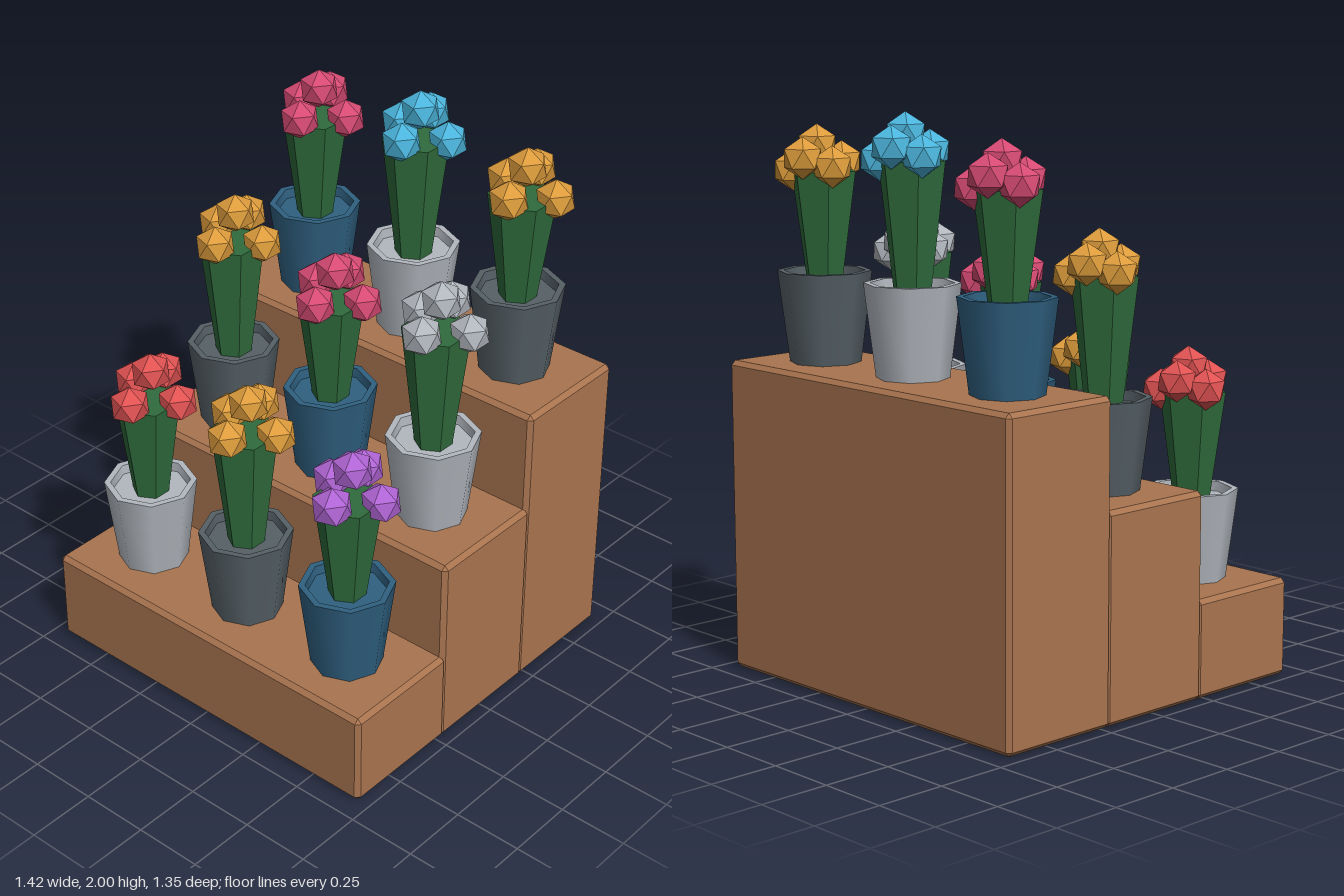
import * as THREE from 'three';
import { mergeGeometries } from 'three/addons/utils/BufferGeometryUtils.js';
import { ConvexGeometry } from 'three/addons/geometries/ConvexGeometry.js';

const material = (name, color, flatShading = false) => {
  const m = new THREE.MeshStandardMaterial({ color, flatShading });
  m.name = name;
  return m;
};

// Box with every edge chamfered, standing on y = 0
function chamferedBox(w, h, d, c) {
  const points = [];
  for (const sx of [-1, 1]) for (const sy of [-1, 1]) for (const sz of [-1, 1]) {
    for (let axis = 0; axis < 3; axis++) {
      const inset = [c, c, c];
      inset[axis] = 0;
      points.push(new THREE.Vector3(
        sx * (w / 2 - inset[0]),
        h / 2 + sy * (h / 2 - inset[1]),
        sz * (d / 2 - inset[2])));
    }
  }
  return new ConvexGeometry(points);
}

// Hollow pot: each profile segment is its own band, so the rim stays sharp
function potGeometry() {
  const profile = [[0, 0], [0.125, 0], [0.165, 0.32], [0.142, 0.32], [0.138, 0.285], [0, 0.285]]
    .map(([x, y]) => new THREE.Vector2(x, y));
  const bands = [];
  for (let i = 0; i < profile.length - 1; i++) {
    bands.push(new THREE.LatheGeometry([profile[i], profile[i + 1]], 8));
  }
  return mergeGeometries(bands);
}

export function createModel() {
  const model = new THREE.Group();
  model.name = 'flowerStand';

  const wood = material('wood', 0xa9744f);
  const leaf = material('leafGreen', 0x2f6b3c);
  const silver = material('silver', 0xb2b7be);
  const slate = material('slate', 0x556066);
  const blue = material('blue', 0x2f6080);
  const red = material('red', 0xe05252);
  const amber = material('amber', 0xdd9c3c);
  const purple = material('purple', 0xb064d4);
  const pink = material('pink', 0xd64a74);
  const cyan = material('cyan', 0x4bb5dc);

  const pots = [silver, slate, blue];
  const blooms = [[red, amber, purple], [amber, pink, silver], [pink, cyan, amber]];
  const stepHeights = [0.35, 0.73, 1.11];
  const stepZ = [0.444, 0, -0.444];

  const pot = potGeometry();
  const bloom = new THREE.IcosahedronGeometry(0.073, 0);
  bloom.rotateZ(-Math.atan(2 / (1 + Math.sqrt(5)))); // one corner points up
  // Bloom centres above the pot's foot
  const bloomSpots = [
    [-0.01, 0.755, -0.035], [0.097, 0.665, -0.055], [0.015, 0.69, 0.095],
    [-0.097, 0.685, -0.04], [-0.03, 0.715, -0.115],
  ];

  const add = (parent, name, geometry, mat, x = 0, y = 0, z = 0) => {
    const mesh = new THREE.Mesh(geometry, mat);
    mesh.name = name;
    mesh.position.set(x, y, z);
    parent.add(mesh);
    return mesh;
  };

  stepHeights.forEach((height, row) => {
    // Wooden step
    add(model, 'step', chamferedBox(1.42, height, 0.466, 0.016), wood, 0, 0, stepZ[row]);

    for (let col = 0; col < 3; col++) {
      const plant = new THREE.Group();
      plant.name = 'pottedFlowers';
      plant.position.set((col - 1) * 0.46, height, stepZ[row]);
      model.add(plant);

      // Every second plant is taller
      const lift = (row + col) % 2 ? 0.063 : 0;
      add(plant, 'pot', pot, pots[(row + col) % 3]);

      // Bunch of stems, widening upwards
      const stemHeight = 0.385 + lift;
      const stems = new THREE.CylinderGeometry(0.118, 0.065, stemHeight, 6).toNonIndexed();
      stems.computeVertexNormals();
      add(plant, 'stems', stems, leaf, 0, 0.28 + stemHeight / 2, 0);

      for (const [x, y, z] of bloomSpots) {
        add(plant, 'bloom', bloom, blooms[row][col], x, y + lift, z);
      }
    }
  });

  return model;
}
